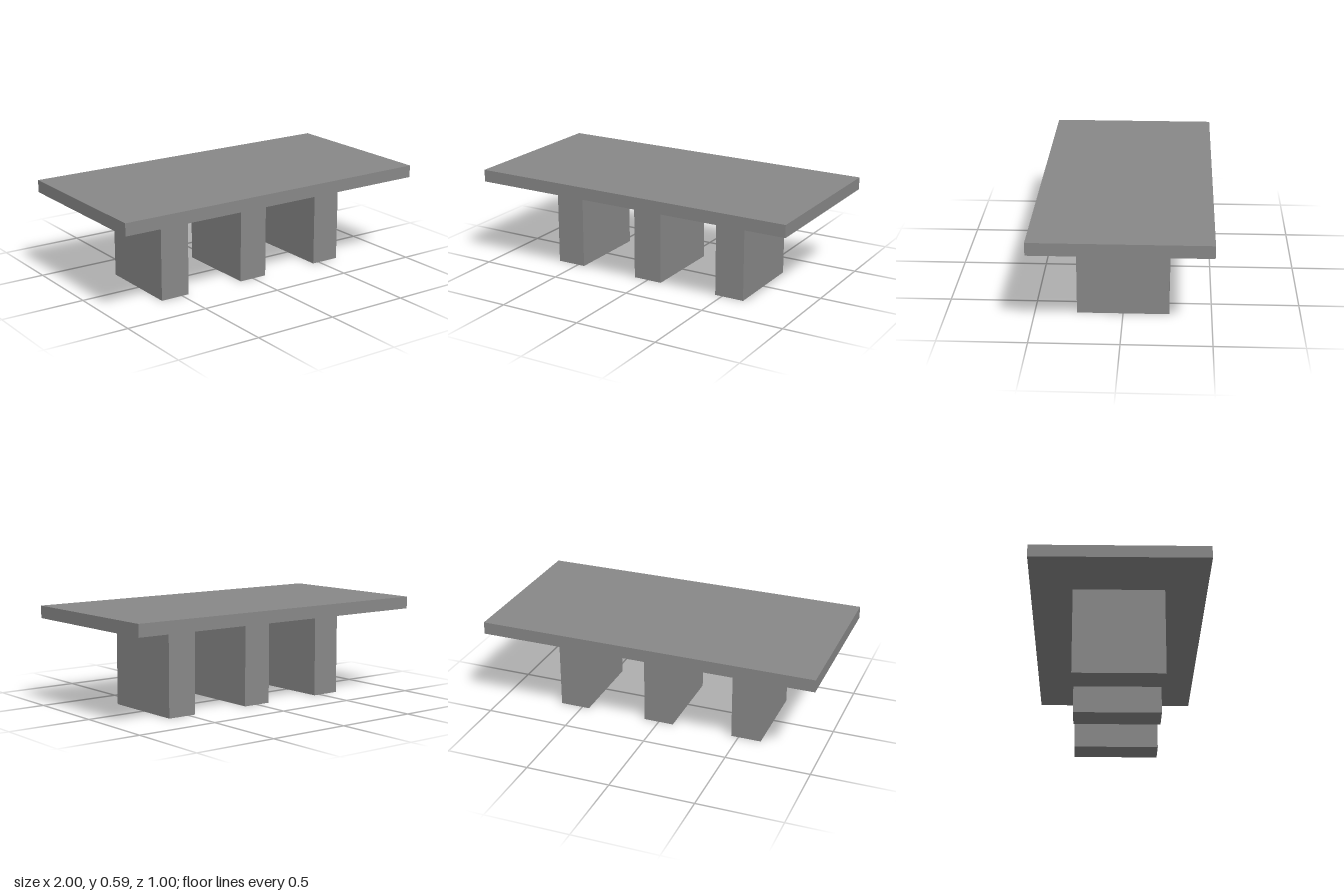
import * as THREE from 'three';

const WIDTH = 2, DEPTH = 1;
const LEG_HEIGHT = 0.518, TOP_HEIGHT = 0.591;
const LEG_WIDTH = 0.18, LEG_DEPTH = 0.522, LEG_SPACING = 0.546;

export function createModel() {
  const model = new THREE.Group();
  model.name = 'table';
  const material = new THREE.MeshStandardMaterial({ color: 0x888888 });

  // Box standing on height y0 and reaching up to y1
  const addBlock = (name, width, depth, y0, y1, x = 0) => {
    const block = new THREE.Mesh(new THREE.BoxGeometry(width, y1 - y0, depth), material);
    block.name = name;
    block.position.set(x, (y0 + y1) / 2, 0);
    model.add(block);
  };

  // Flat slab on top
  addBlock('tabletop', WIDTH, DEPTH, LEG_HEIGHT, TOP_HEIGHT);

  // Three evenly spaced slab legs
  ['rightLeg', 'middleLeg', 'leftLeg'].forEach((name, i) =>
    addBlock(name, LEG_WIDTH, LEG_DEPTH, 0, LEG_HEIGHT, (i - 1) * LEG_SPACING));

  return model;
}
